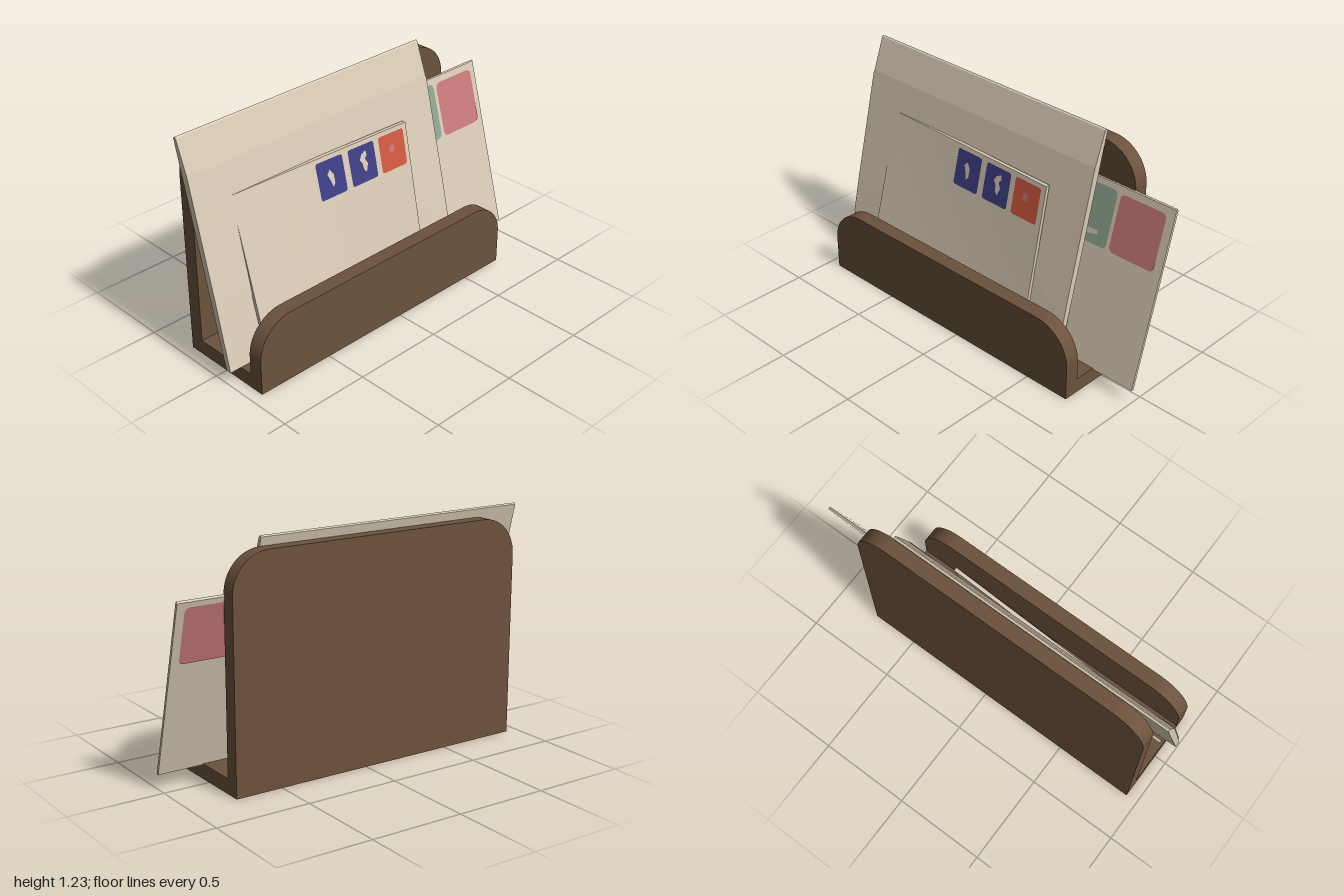
import * as THREE from 'three';

const paint = (name, color, side = THREE.FrontSide) => {
  const m = new THREE.MeshStandardMaterial({ color, side });
  m.name = name;
  return m;
};

export function createModel() {
  const root = new THREE.Group();
  root.name = 'letterHolder';
  const wood = paint('brown wood', 0x6c523c);
  const paper = paint('cream paper', 0xd9cbb5, THREE.DoubleSide);
  const blue = paint('blue ink', 0x3f3f86, THREE.DoubleSide);
  const red = paint('red ink', 0xd2593f, THREE.DoubleSide);
  const pink = paint('pink ink', 0xc97a7c, THREE.DoubleSide);
  const green = paint('green ink', 0x8fa58e, THREE.DoubleSide);

  const add = (name, geometry, material, parent = root) => {
    const mesh = new THREE.Mesh(geometry, material);
    mesh.name = name;
    parent.add(mesh);
    return mesh;
  };
  // Move every vertex in z by a rule
  const shiftZ = (geometry, rule) => {
    const p = geometry.attributes.position;
    for (let i = 0; i < p.count; i++) p.setZ(i, p.getZ(i) + rule(p.getX(i), p.getY(i)));
    geometry.computeVertexNormals();
    return geometry;
  };
  const outline = (pts) => new THREE.Shape(pts.map(([x, y]) => new THREE.Vector2(x, y)));
  // Thin sheet laid on a sloping surface
  const sheet = (name, shape, rule, material) =>
    add(name, shiftZ(new THREE.ShapeGeometry(shape, 6), rule), material);
  const roundRect = (x0, y0, x1, y1, r) => {
    const s = new THREE.Shape();
    s.moveTo(x0 + r, y0).lineTo(x1 - r, y0).quadraticCurveTo(x1, y0, x1, y0 + r);
    s.lineTo(x1, y1 - r).quadraticCurveTo(x1, y1, x1 - r, y1);
    s.lineTo(x0 + r, y1).quadraticCurveTo(x0, y1, x0, y1 - r);
    s.lineTo(x0, y0 + r).quadraticCurveTo(x0, y0, x0 + r, y0);
    return s;
  };
  // Solid with a side profile of [z, y] points, running from x0 to x1
  const prism = (name, pts, x0, x1) => {
    const g = new THREE.ExtrudeGeometry(outline(pts.map(([z, y]) => [-z, y])),
      { depth: x1 - x0, bevelEnabled: false });
    g.rotateY(Math.PI / 2).translate(x0, 0, 0);
    return add(name, g, paper);
  };

  // Holder: base and two walls with rounded upper corners
  const x0 = -0.935, x1 = 0.755, r = 0.2;
  const holder = new THREE.Group();
  holder.name = 'holder';
  root.add(holder);
  const wall = (name, height, z) => {
    const s = new THREE.Shape();
    s.moveTo(x0, 0).lineTo(x1, 0).lineTo(x1, height - r);
    s.absarc(x1 - r, height - r, r, 0, Math.PI / 2);
    s.lineTo(x0 + r, height);
    s.absarc(x0 + r, height - r, r, Math.PI / 2, Math.PI);
    const g = new THREE.ExtrudeGeometry(s, { depth: 0.08, bevelEnabled: false, curveSegments: 10 });
    add(name, g.translate(0, 0, z), wood, holder);
  };
  wall('backWall', 1.18, -0.265);
  wall('frontWall', 0.385, 0.185);
  add('base', new THREE.BoxGeometry(x1 - x0, 0.08, 0.37).translate((x0 + x1) / 2, 0.04, 0), wood, holder);

  // Large envelope, slightly swollen towards its top flap
  prism('largeEnvelope', [[0.085, 0.08], [0.115, 0.08], [0.03, 0.45], [-0.118, 1.05],
    [-0.182, 1.225], [-0.19, 1.232], [-0.2, 1.225]], -1, 0.56);
  const largeFront = (x, y) => (y < 0.45 ? 0.115 - (y - 0.08) * 0.23
    : y < 1.05 ? 0.03 - (y - 0.45) * 0.247 : -0.118 - (y - 1.05) * 0.366) + 0.005;
  sheet('rightSideFlap', outline([[-1, 1.05], [-0.79, 0.89], [-0.79, 0.45], [-0.79, 0.4],
    [-1, 0.25], [-1, 0.45]]), largeFront, paper);
  sheet('leftSideFlap', outline([[0.56, 1.05], [0.33, 0.89], [0.33, 0.45], [0.33, 0.42],
    [0.56, 0.25], [0.56, 0.45]]), largeFront, paper);

  // Rear envelope, with a tapered flap at its left end
  prism('rearEnvelope', [[0.055, 0.075], [0.07, 0.075], [-0.18, 0.975], [-0.187, 0.98],
    [-0.194, 0.97]], -0.92, 1);
  const rearFront = (lift) => (x, y) => 0.07 - (y - 0.075) * 0.2778 + lift;
  sheet('rearFlap', outline([[0.3, 0.972], [0.995, 0.972], [0.945, 0.6], [0.3, 0.6]]), rearFront(0.005), paper);
  [['front', 0.008], ['back', -0.021]].forEach(([face, lift]) => {
    sheet(face + 'PinkStamp', roundRect(0.69, 0.66, 0.96, 0.945, 0.03), rearFront(lift), pink);
    sheet(face + 'GreenStamp', roundRect(0.44, 0.66, 0.67, 0.95, 0.03), rearFront(lift), green);
  });
  sheet('greenStampMark', outline([[0.53, 0.7], [0.61, 0.715], [0.61, 0.735], [0.53, 0.73]]), rearFront(0.011), paper);

  // Front letter, a slightly twisted card
  const cardFront = (lift) => (x, y) => {
    const u = (x + 0.79) / 1.12, v = (y - 0.08) / 0.81;
    const low = 0.15 - 0.022 * u, high = -0.078 + 0.04 * u;
    return low + (high - low) * v + lift;
  };
  add('frontLetter', shiftZ(new THREE.BoxGeometry(1.12, 0.81, 0.02, 8, 8, 1)
    .translate(-0.23, 0.485, 0), cardFront(-0.01)), paper);

  // Three stamps with pale figures
  [[-0.285, blue], [-0.075, blue], [0.13, red]].forEach(([x, ink], i) =>
    sheet('stamp' + (i + 1), roundRect(x, 0.68, x + 0.172, 0.87, 0.015), cardFront(0.004), ink));
  sheet('firstFigure', outline([[-0.225, 0.8], [-0.205, 0.82], [-0.185, 0.79], [-0.185, 0.745],
    [-0.2, 0.73], [-0.21, 0.765]]), cardFront(0.007), paper);
  sheet('secondFigure', outline([[-0.01, 0.8], [0.005, 0.825], [0.035, 0.84], [0.04, 0.815], [0.025, 0.8],
    [0.04, 0.77], [0.025, 0.73], [0.01, 0.745], [0.005, 0.78]]), cardFront(0.007), paper);
  sheet('thirdFigure', roundRect(0.192, 0.77, 0.228, 0.81, 0.014), cardFront(0.007), pink);

  return root;
}
